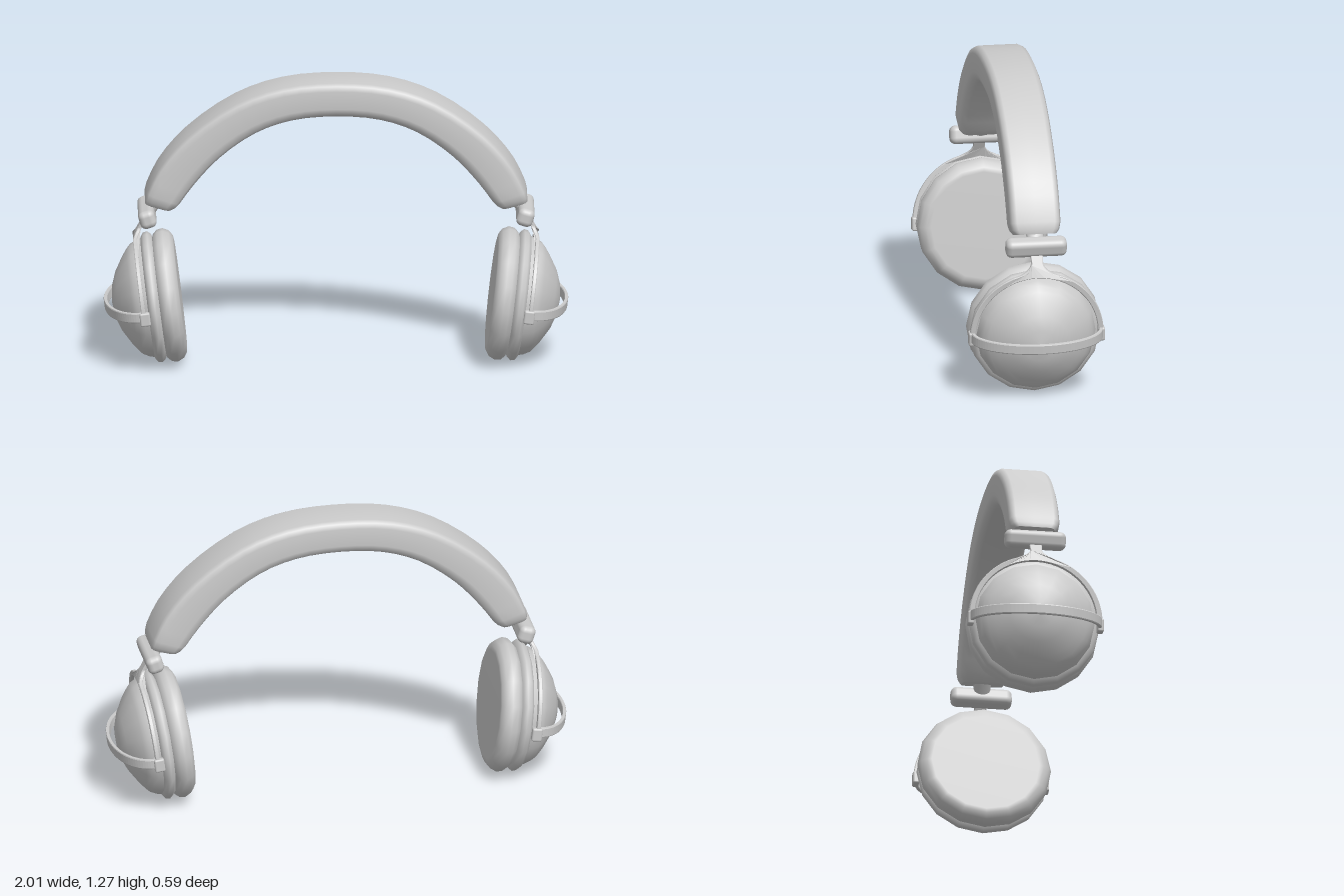
import * as THREE from 'three';
import { RoundedBoxGeometry } from 'three/addons/geometries/RoundedBoxGeometry.js';

const material = new THREE.MeshStandardMaterial({ color: 0xcccccc });

function add(parent, name, geometry, x = 0, y = 0, z = 0, tilt = 0) {
  const mesh = new THREE.Mesh(geometry, material);
  mesh.name = name;
  mesh.position.set(x, y, z);
  mesh.rotation.z = tilt;
  parent.add(mesh);
  return mesh;
}

// Mirror a half arc (from the crown to the right end) into a full curve.
function archCurve(half) {
  const left = half.slice(1).reverse().map(([x, y]) => [-x, y]);
  return new THREE.CatmullRomCurve3([...left, ...half].map(([x, y]) => new THREE.Vector3(x, y, 0)));
}

// Padded band: a rounded section swept between the outer and inner arcs.
function headbandGeometry() {
  const outer = archCurve([[0, 1.265], [0.23, 1.245], [0.43, 1.175], [0.64, 1.027], [0.765, 0.88], [0.837, 0.725]]);
  const inner = archCurve([[0, 1.112], [0.19, 1.095], [0.345, 1.04], [0.5, 0.93], [0.61, 0.81], [0.7, 0.685]]);
  // Half section as [z, position from inner (0) to outer (1)]
  const half = [[0, 1], [0.083, 1], [0.102, 0.94], [0.111, 0.8], [0.111, 0.28], [0.102, 0.1], [0.08, 0.02], [0, 0]];
  const section = [...half, ...half.slice(1, -1).reverse().map(([z, s]) => [-z, s])];
  // Rings as [t, scale]; the ends shrink, then close on a flat cap
  const start = [[0, 0], [0, 0.8], [0, 0.82], [0.012, 0.94], [0.03, 1]];
  const rings = [...start];
  for (let i = 1; i < 28; i++) rings.push([0.03 + 0.94 * i / 28, 1]);
  rings.push(...start.map(([t, s]) => [1 - t, s]).reverse());

  const positions = [], index = [], n = section.length;
  rings.forEach(([t, scale], i) => {
    const a = inner.getPoint(t), b = outer.getPoint(t);
    section.forEach(([z, s], j) => {
      const p = a.clone().lerp(b, 0.5 + (s - 0.5) * scale);
      positions.push(p.x, p.y, z * scale);
      if (i === rings.length - 1) return;
      const k = (j + 1) % n, r = i * n, q = r + n;
      index.push(r + j, r + k, q + j, r + k, q + k, q + j);
    });
  });
  const geometry = new THREE.BufferGeometry();
  geometry.setAttribute('position', new THREE.Float32BufferAttribute(positions, 3));
  geometry.setIndex(index);
  geometry.computeVertexNormals();
  return geometry;
}

// Turn a profile of [distance outward, radius] about the ear axis (local x).
function turned(profile) {
  const points = profile.map(([u, r]) => new THREE.Vector2(r, u));
  return new THREE.LatheGeometry(points, 16).rotateZ(-Math.PI / 2);
}

// Half hoop over the cup with a flared stem bending in towards the band.
function yokeGeometry() {
  const R = 0.288, a = 1.2, cx = R * Math.cos(a), cy = R * Math.sin(a);
  const shape = new THREE.Shape();
  shape.moveTo(R, -0.01);
  shape.absarc(0, 0, R, 0, a, false);
  shape.quadraticCurveTo(0.03, 0.29, 0.022, 0.325);
  shape.lineTo(0.024, 0.36);
  shape.lineTo(-0.024, 0.36);
  shape.lineTo(-0.022, 0.325);
  shape.quadraticCurveTo(-0.03, 0.29, -cx, cy);
  shape.absarc(0, 0, R, Math.PI - a, Math.PI, false);
  shape.lineTo(-0.27, -0.01);
  shape.absarc(0, 0, 0.27, Math.PI, 0, true);
  const geometry = new THREE.ExtrudeGeometry(shape, {
    depth: 0.012, bevelSize: 0.003, bevelThickness: 0.003, bevelSegments: 1, curveSegments: 14,
  }).translate(0, 0, -0.006).rotateY(Math.PI / 2);
  const p = geometry.attributes.position;
  for (let i = 0; i < p.count; i++) {
    const rise = Math.max(0, p.getY(i) - 0.285);
    p.setX(i, p.getX(i) - rise * 0.67);
  }
  geometry.computeVertexNormals();
  return geometry;
}

// Flat strip bowed around the outside of the cup.
function bailGeometry() {
  const shape = new THREE.Shape();
  shape.absellipse(0, 0, 0.165, 0.286, -Math.PI / 2, Math.PI / 2, false);
  shape.lineTo(0, 0.274);
  shape.absellipse(0, 0, 0.153, 0.274, Math.PI / 2, -Math.PI / 2, true);
  return new THREE.ExtrudeGeometry(shape, {
    depth: 0.036, bevelSize: 0.002, bevelThickness: 0.004, bevelSegments: 1, curveSegments: 24,
  }).translate(0, 0, -0.018).rotateX(Math.PI / 2);
}

function createSide(name) {
  const side = new THREE.Group();
  side.name = name;

  // Hinge below the band end
  const peg = add(side, 'hingePeg', new THREE.CylinderGeometry(0.025, 0.025, 0.09, 12), 0.79, 0.69, 0, 0.6);
  peg.scale.z = 1.5;
  add(side, 'hingeBlock', new RoundedBoxGeometry(0.072, 0.08, 0.266, 3, 0.026), 0.816, 0.662, 0, -0.3);

  // Ear cup, leaning with its axis slightly downward
  const cup = new THREE.Group();
  cup.name = 'earCup';
  cup.position.set(0.671, 0.292, 0);
  cup.rotation.z = -0.122;
  side.add(cup);
  add(cup, 'earPad', turned([[0, 0], [0, 0.235], [0.003, 0.255], [0.018, 0.278], [0.045, 0.291],
    [0.07, 0.287], [0.088, 0.27], [0.094, 0.255]]));
  add(cup, 'cupRim', turned([[0.088, 0.25], [0.096, 0.272], [0.112, 0.286], [0.13, 0.282], [0.142, 0.265], [0.147, 0.245]]));
  add(cup, 'cupShell', turned([[0.135, 0.262], [0.165, 0.254], [0.192, 0.24], [0.21, 0.22], [0.232, 0.19],
    [0.268, 0.13], [0.29, 0.07], [0.298, 0]]));
  add(cup, 'yoke', yokeGeometry(), 0.165);
  add(cup, 'outerBail', bailGeometry(), 0.165);
  for (const s of [-1, 1]) {
    add(cup, 'pivotKnob', new RoundedBoxGeometry(0.045, 0.06, 0.028, 2, 0.008), 0.16, -0.008, s * 0.283);
  }
  return side;
}

export function createModel() {
  const model = new THREE.Group();
  model.name = 'headphones';
  add(model, 'headband', headbandGeometry());
  model.add(createSide('leftSide'));
  const right = createSide('rightSide');
  right.rotation.y = Math.PI;
  model.add(right);
  return model;
}
